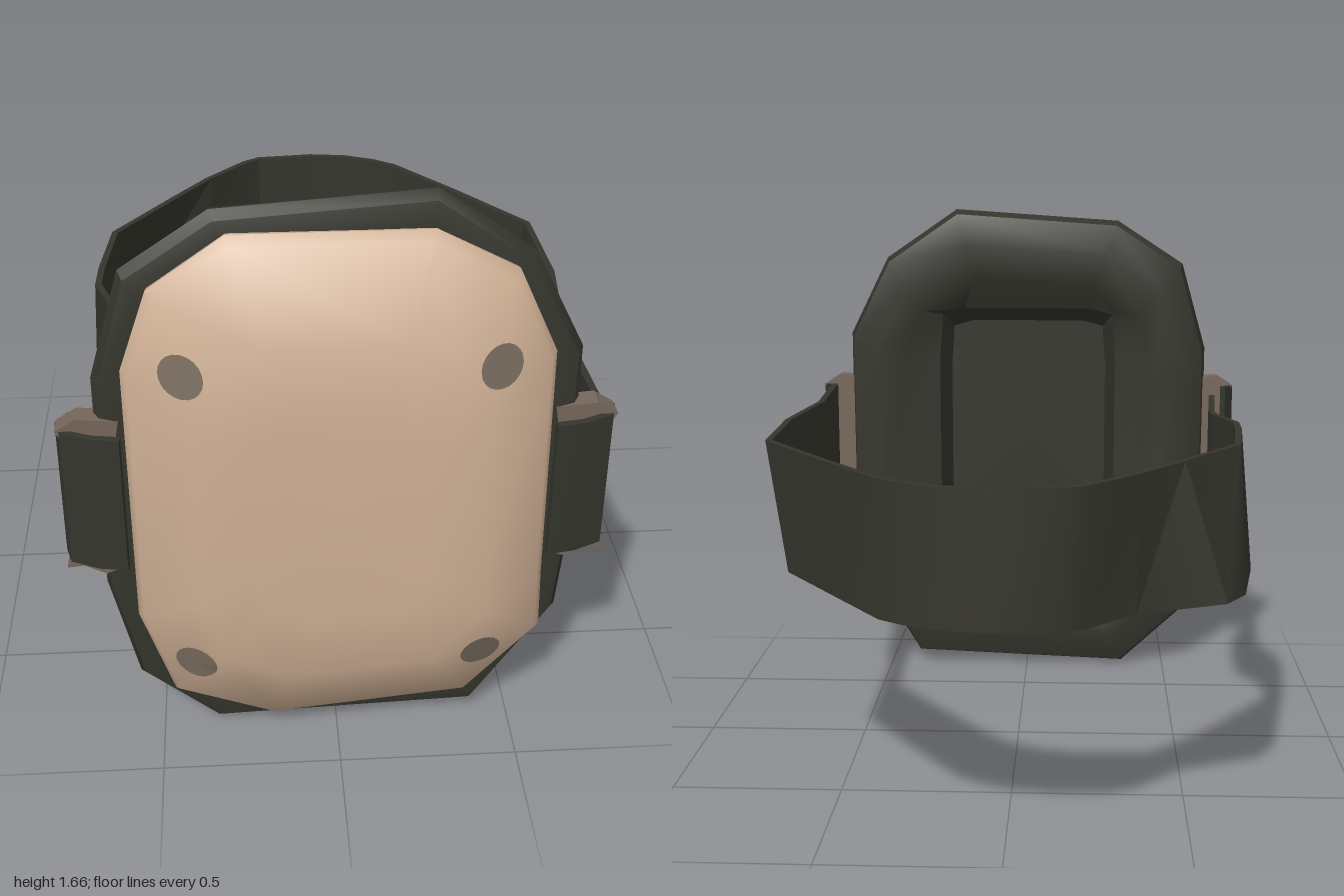
import * as THREE from 'three';
import { toCreasedNormals } from 'three/addons/utils/BufferGeometryUtils.js';

const mat = (name, color) => {
  const m = new THREE.MeshStandardMaterial({ color });
  m.name = name;
  return m;
};

// Skin a row of closed loops of equal length, leaving out collapsed triangles
function loft(name, loops, material, crease) {
  const pos = [];
  const tri = (a, b, c) => {
    const n = b.clone().sub(a).cross(c.clone().sub(a));
    if (n.length() > 1e-8) for (const p of [a, b, c]) pos.push(p.x, p.y, p.z);
  };
  for (let i = 0; i < loops.length - 1; i++) {
    const A = loops[i], B = loops[i + 1];
    for (let j = 0; j < A.length; j++) {
      const k = (j + 1) % A.length;
      tri(A[j], B[j], B[k]);
      tri(A[j], B[k], A[k]);
    }
  }
  const g = new THREE.BufferGeometry();
  g.setAttribute('position', new THREE.Float32BufferAttribute(pos, 3));
  const mesh = new THREE.Mesh(toCreasedNormals(g, crease), material);
  mesh.name = name;
  return mesh;
}

// Scaled copies of an outline: each ring is [scale, z]; bend(x, y) adds to z
const CY = 0.82;
const rings = (outline, list, bend) => list.map(([s, z]) => outline.map(([x, y]) => {
  const px = x * s, py = CY + (y - CY) * s;
  return new THREE.Vector3(px, py, z + bend(px, py));
}));

// Flat band with thickness; stations are [xTop, zTop, xBottom, zBottom]
function band(name, stations, thick, material) {
  const up = new THREE.Vector3(0, 1, 0);
  const top = stations.map(([x, z]) => new THREE.Vector3(x, 1.023 + 0.015 * z, z));
  const bot = stations.map(([x, z, xb = x, zb = z]) => new THREE.Vector3(xb, 0.628 - 0.008 * zb, zb));
  const side = (pts, i) => pts[Math.min(i + 1, pts.length - 1)].clone()
    .sub(pts[Math.max(i - 1, 0)]).cross(up).setY(0).normalize().multiplyScalar(thick / 2);
  const loops = stations.map((_, i) => {
    const t = side(top, i), b = side(bot, i);
    return [bot[i].clone().add(b), top[i].clone().add(t), top[i].clone().sub(t), bot[i].clone().sub(b)];
  });
  const cap = (loop) => {
    const c = loop.reduce((s, p) => s.add(p), new THREE.Vector3()).divideScalar(4);
    return loop.map(() => c.clone());
  };
  return loft(name, [cap(loops[0]), ...loops, cap(loops[loops.length - 1])], material, 0.5);
}

export function createModel() {
  const group = new THREE.Group();
  const fabric = mat('dark fabric', 0x34352c);
  const tan = mat('tan shell', 0xceaf94);
  const rivetMat = mat('rivet brown', 0x796c5f);
  const buckleMat = mat('buckle brown', 0x75665b);

  // Padded rim with a stepped hollow at the back
  const rimOutline = [
    [0.40, 0.03], [0.62, 0.38], [0.635, 0.55], [0.635, 1.22], [0.50, 1.49], [0.25, 1.66],
    [-0.32, 1.62], [-0.55, 1.47], [-0.635, 1.17], [-0.635, 0.52], [-0.56, 0.19], [-0.35, 0],
  ];
  const rimBend = (x, y) => 0.08 * x * x + 0.015 * (CY - y);
  const hollow = [
    [0.24, 0.34], [0.28, 0.38], [0.28, 0.6], [0.28, 1.1], [0.27, 1.24], [0.2, 1.26],
    [-0.2, 1.26], [-0.27, 1.24], [-0.28, 1.1], [-0.28, 0.6], [-0.28, 0.38], [-0.24, 0.34],
  ];
  const rimLoops = [
    ...rings(rimOutline, [[0.78, 0.80], [0.91, 0.81], [0.975, 0.795], [1, 0.765],
      [0.98, 0.72], [0.86, 0.69], [0.72, 0.71]], rimBend),
    ...rings(hollow, [[1.12, 0.75], [1, 0.86], [0, 0.87]], rimBend),
  ];
  group.add(loft('paddedRim', rimLoops, fabric, 0.6));

  // Domed front shell, a little fuller along its sides
  const shellOutline = [
    [0.37, 0.12], [0.565, 0.36], [0.56, 0.55], [0.555, 1.24], [0.45, 1.47], [0.24, 1.575],
    [-0.28, 1.575], [-0.48, 1.44], [-0.555, 1.22], [-0.55, 0.45], [-0.46, 0.17], [-0.19, 0.05],
  ];
  const shellLoops = rings(shellOutline,
    [[0, 0.985], [0.42, 0.984], [0.68, 0.963], [0.97, 0.85], [1, 0.82], [0.99, 0.785]],
    (x, y) => 0.02 * (CY - y) + 0.12 * x * x);
  const shell = loft('frontShell', shellLoops, tan, 0.8);
  group.add(shell);

  // Four rivet discs laid onto the shell surface
  const ray = new THREE.Raycaster();
  const ahead = new THREE.Vector3(0, 0, -1);
  for (const [x, y] of [[-0.40, 1.25], [0.40, 1.25], [-0.395, 0.335], [0.39, 0.335]]) {
    const disc = new THREE.CircleGeometry(0.057, 20).translate(x, y, 0);
    const p = disc.attributes.position;
    for (let i = 0; i < p.count; i++) {
      ray.set(new THREE.Vector3(p.getX(i), p.getY(i), 2), ahead);
      const hit = ray.intersectObject(shell)[0];
      p.setZ(i, (hit ? hit.point.z : 0.9) + 0.007);
    }
    disc.computeVertexNormals();
    const rivet = new THREE.Mesh(disc, rivetMat);
    rivet.name = 'rivet';
    group.add(rivet);
  }

  // Strap loops folded round flared buckles on both sides
  const plate = new THREE.Shape([
    [-0.08, -0.225], [-0.02, -0.25], [0.04, -0.22], [0.085, -0.225], [0.065, -0.18], [0.065, 0.18],
    [0.085, 0.215], [0.03, 0.25], [-0.08, 0.24], [-0.07, 0.18], [-0.07, -0.18],
  ].map(([x, y]) => new THREE.Vector2(x, y)));
  for (const s of [1, -1]) {
    const anchor = new THREE.Group();
    anchor.name = s > 0 ? 'leftAnchor' : 'rightAnchor';
    const path = [[0.565, 0.88], [0.64, 0.868], [0.715, 0.835], [0.728, 0.79], [0.70, 0.745]];
    anchor.add(band('strapLoop', path.map(([x, z]) => [s * x, z]), 0.02, fabric));
    const buckle = new THREE.Mesh(
      new THREE.ExtrudeGeometry(plate, { depth: 0.06, bevelEnabled: false }), buckleMat);
    buckle.name = 'buckle';
    buckle.position.set(s * 0.65, CY, 0.775);
    if (s < 0) {
      buckle.rotation.y = Math.PI;
      buckle.position.z += 0.06;
    }
    anchor.add(buckle);
    group.add(anchor);
  }

  // Long strap, joined on the left and open at its right end
  group.add(band('strap', [
    [0.70, 0.79], [0.69, 0.55], [0.68, 0.36], [0.705, 0.15, 0.65, 0.18], [0.722, 0, 0.65, 0],
    [0.712, -0.36, 0.65, -0.39], [0.50, -0.65, 0.475, -0.65], [0.32, -0.88], [0.25, -0.93],
    [0.15, -0.973], [0.03, -0.99], [-0.16, -0.973], [-0.21, -0.94], [-0.34, -0.80],
    [-0.47, -0.62, -0.59, -0.685], [-0.645, -0.37, -0.645, -0.59], [-0.672, -0.11, -0.69, -0.30],
    [-0.675, 0, -0.695, 0], [-0.625, 0.14], [-0.615, 0.20], [-0.645, 0.55],
  ], 0.02, fabric));

  return group;
}
